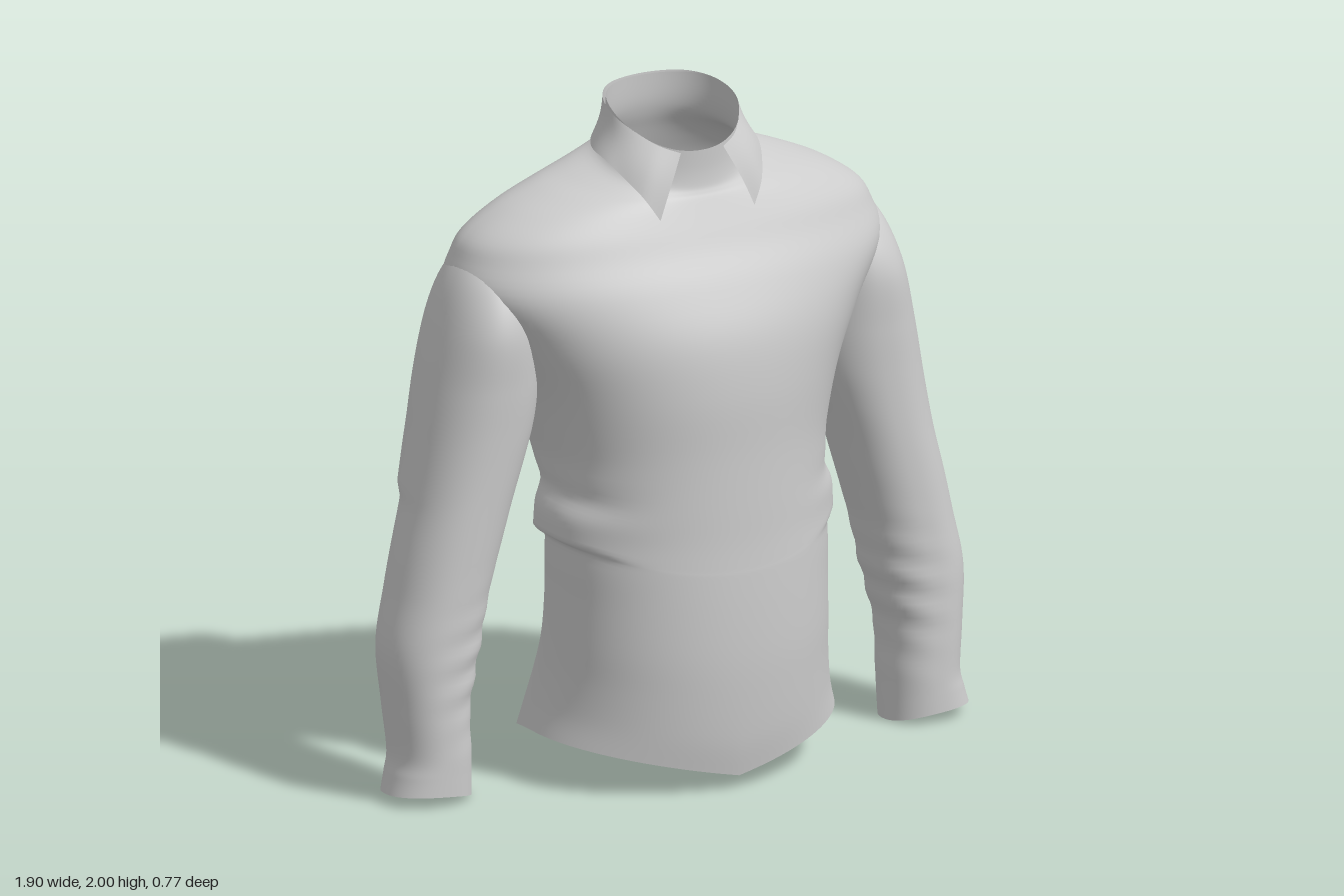
import * as THREE from 'three';

const cloth = new THREE.MeshStandardMaterial({ color: 0xcccccc, side: THREE.DoubleSide });
const smooth = THREE.MathUtils.smoothstep;
const spow = (v, n) => Math.sign(v) * Math.pow(Math.abs(v), 2 / n);
const bell = (v, c, w) => Math.exp(-(((v - c) / w) ** 2));

// Smoothly resample a list of parameter rows (component-wise spline)
function resample(rows, steps) {
  const out = [];
  const at = i => rows[Math.min(rows.length - 1, Math.max(0, i))];
  for (let i = 0; i < rows.length - 1; i++) {
    for (let s = 0; s < steps; s++) {
      const t = s / steps;
      out.push(at(i).map((p1, k) => {
        const p0 = at(i - 1)[k], p2 = at(i + 1)[k], p3 = at(i + 2)[k];
        return p1 + 0.5 * t * (p2 - p0 + t * (2 * p0 - 5 * p1 + 4 * p2 - p3 + t * (3 * (p1 - p2) + p3 - p0)));
      }));
    }
  }
  out.push(rows[rows.length - 1]);
  return out;
}

// Skin a grid of points; closed wraps the columns around
function skin(name, nRows, nCols, closed, point) {
  const pos = [], idx = [];
  for (let i = 0; i < nRows; i++) for (let j = 0; j < nCols; j++) pos.push(...point(i, j));
  for (let i = 0; i < nRows - 1; i++) {
    for (let j = 0; j < (closed ? nCols : nCols - 1); j++) {
      const a = i * nCols + j, b = i * nCols + (j + 1) % nCols, c = a + nCols, d = b + nCols;
      idx.push(a, c, b, b, c, d);
    }
  }
  const g = new THREE.BufferGeometry();
  g.setAttribute('position', new THREE.Float32BufferAttribute(pos, 3));
  g.setIndex(idx);
  g.computeVertexNormals();
  const mesh = new THREE.Mesh(g, cloth);
  mesh.name = name;
  return mesh;
}

// Body: [y front, y back, half width, z front, z back, z of the side]
const BODY = [
  [0.145, 0.145, 0.47, 0.355, -0.325, 0.0],
  [0.22, 0.22, 0.45, 0.37, -0.30, 0.0],
  [0.32, 0.32, 0.433, 0.38, -0.26, 0.02],
  [0.42, 0.42, 0.425, 0.385, -0.22, 0.04],
  [0.54, 0.54, 0.42, 0.383, -0.212, 0.05],
  [0.64, 0.64, 0.42, 0.379, -0.214, 0.05],
  [0.67, 0.67, 0.418, 0.377, -0.216, 0.05],
  [0.74, 0.74, 0.414, 0.373, -0.224, 0.05],
  [0.84, 0.84, 0.415, 0.37, -0.257, 0.04],
  [1.0, 1.0, 0.44, 0.365, -0.32, 0.0],
  [1.18, 1.18, 0.495, 0.362, -0.368, -0.03],
  [1.34, 1.34, 0.585, 0.338, -0.38, -0.06],
  [1.48, 1.48, 0.685, 0.28, -0.358, -0.09],
  [1.58, 1.58, 0.665, 0.225, -0.325, -0.1],
  [1.64, 1.64, 0.625, 0.195, -0.305, -0.1],
  [1.69, 1.71, 0.53, 0.17, -0.28, -0.1],
  [1.72, 1.77, 0.42, 0.155, -0.255, -0.09],
  [1.735, 1.82, 0.32, 0.147, -0.235, -0.07],
  [1.755, 1.87, 0.235, 0.14, -0.215, -0.04],
  [1.80, 1.92, 0.205, 0.135, -0.204, -0.03],
  [1.86, 1.995, 0.195, 0.135, -0.2, -0.03],
];

function body() {
  const rows = resample(BODY, 5), cols = 112;
  return skin('shirtBody', rows.length, cols, true, (i, j) => {
    const [yF, yB, w, zF, zB, zC] = rows[i];
    const a = j / cols * Math.PI * 2, front = Math.sin(a) >= 0;
    // broad flat back, rounder front, round neck
    const n = front ? 2.1 : 2.65 - 0.55 * smooth(yB, 1.6, 1.85);
    const u = spow(Math.cos(a), n), v = spow(Math.sin(a), n);
    // cloth spilling over the waist, across the back and out to the flanks
    const spill = 0.034 * smooth(yF, 0.645, 0.67) * (yF < 0.67 ? 1 : bell(yF, 0.67, 0.13)) * (front ? u ** 8 : 1);
    // slanting drag lines at the flanks
    const drag = 0.005 * Math.sin(yF * 38 + Math.abs(u) * 5) * bell(yF, 0.78, 0.15) * u ** 4;
    const x = (w + spill + drag) * u;
    const z = zC + ((front ? zF - zC : zC - zB) + spill + drag) * v;
    const f = (zC + (front ? zF - zC : zC - zB) * v - zB) / (zF - zB);
    // hem dips to a point in front and in a shirt tail behind
    const drop = front ? 0.105 * (1 - Math.abs(u)) : 0.095 * (1 - u ** 4);
    const hem = Math.max(0, 1 - (yF - 0.145) / 0.35);
    const neckArch = 0.13 * f * (1 - f) * smooth(yF, 1.75, 1.86);
    // the waist fold rises toward the sides
    const lift = 0.08 * u * u * bell(yF, 0.7, 0.2);
    return [x, yB + (yF - yB) * f - drop * hem + neckArch + lift, z];
  });
}

// Sleeve: [y, inner x, outer x, z front, z back]
const SLEEVE = [
  [0.01, 0.69, 0.95, 0.10, -0.14],
  [0.07, 0.69, 0.935, 0.10, -0.148],
  [0.14, 0.69, 0.922, 0.10, -0.155],
  [0.28, 0.69, 0.932, 0.10, -0.175],
  [0.45, 0.652, 0.942, 0.10, -0.20],
  [0.62, 0.615, 0.908, 0.10, -0.215],
  [0.8, 0.555, 0.873, 0.103, -0.225],
  [0.95, 0.50, 0.842, 0.106, -0.238],
  [1.08, 0.465, 0.817, 0.11, -0.268],
  [1.22, 0.455, 0.788, 0.115, -0.285],
  [1.38, 0.47, 0.748, 0.115, -0.28],
  [1.5, 0.47, 0.706, 0.07, -0.25],
  [1.58, 0.48, 0.655, 0.0, -0.2],
  [1.62, 0.52, 0.6, -0.06, -0.14],
];

function sleeve(side) {
  const rows = resample(SLEEVE, 8), cols = 64;
  return skin(side > 0 ? 'leftSleeve' : 'rightSleeve', rows.length, cols, true, (i, j) => {
    const [y, xi, xo, zF, zB] = rows[i];
    const a = j / cols * Math.PI * 2, c = Math.cos(a), s = Math.sin(side * a);
    // gathers on the inner forearm, and cloth folding over behind the elbow
    const gather = 0.03 * Math.sin(y * 62 + c * 2) * bell(y, 0.4, 0.16) * bell(c, -0.7, 0.7);
    const elbow = 0.11 * smooth(y, 0.91, 0.95) * bell(y, 0.94, 0.13) * bell(s, -1, 0.7);
    const r = 1 + gather + elbow;
    const x = (xi + xo) / 2 + (xo - xi) / 2 * spow(c, 2.2) * r;
    const z = (zF + zB) / 2 + (zF - zB) / 2 * spow(s, 2.2) * r;
    // cuff rim rises outward; the elbow fold sags inward
    const cuff = (0.015 * (1 + c) - 0.01 * (1 - s * s) + 0.008 * s) * Math.max(0, 1 - y / 0.15);
    return [side * x, y + cuff - 0.05 * c * bell(y, 0.94, 0.2), z];
  });
}

// Folded collar: top edge and falling edge, from the front corner to centre back
const TOP = [[0.07, 1.862, 0.14], [0.135, 1.89, 0.1], [0.197, 1.945, 0.0], [0.19, 1.978, -0.1], [0.125, 1.995, -0.178], [0, 2.0, -0.203]];
const FALL = [[0.155, 1.68, 0.172], [0.2, 1.755, 0.137], [0.246, 1.83, 0.03], [0.236, 1.85, -0.09], [0.15, 1.868, -0.192], [0, 1.872, -0.222]];

function collar() {
  const whole = half => {
    const mirrored = half.slice(0, -1).reverse().map(([x, y, z]) => [-x, y, z]);
    return resample([...half, ...mirrored], 8);
  };
  const top = whole(TOP), fall = whole(FALL), rows = 9;
  return skin('collar', rows, top.length, false, (i, j) => {
    const t = i / (rows - 1);
    const p = fall[j].map((v, k) => v + (top[j][k] - v) * t);
    // hollow round the neck, slightly full over the front points
    const full = 0.006 * smooth(p[2], 0.02, 0.1) - 0.008 * (1 - smooth(p[2], -0.02, 0.1));
    const k = 1 + full * Math.sin(Math.PI * t) / Math.hypot(p[0], p[2] + 0.03);
    return [p[0] * k, p[1], (p[2] + 0.03) * k - 0.03];
  });
}

export function createModel() {
  const shirt = new THREE.Group();
  shirt.name = 'shirt';
  shirt.add(body(), sleeve(1), sleeve(-1), collar());
  return shirt;
}
